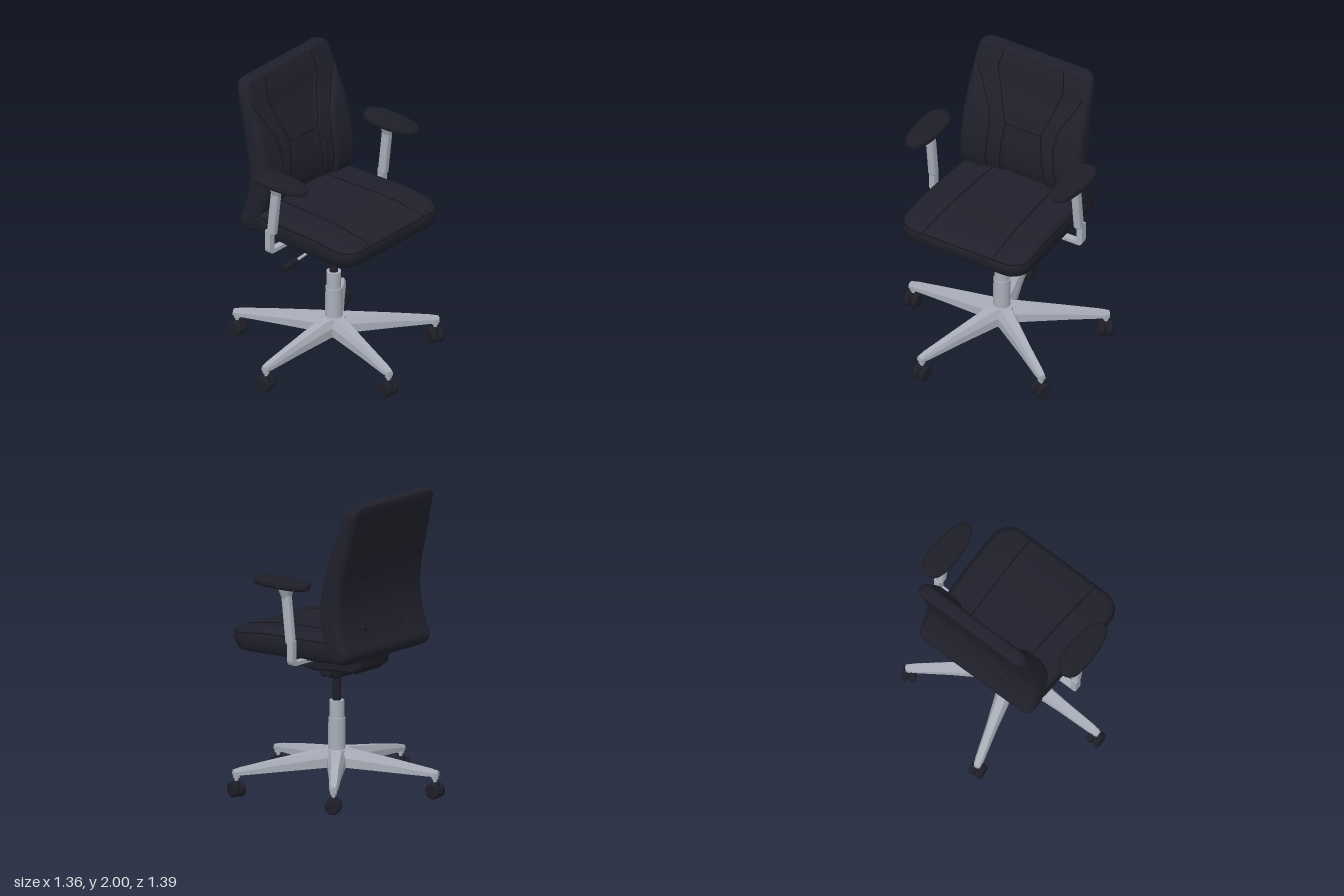
import * as THREE from 'three';
import { toCreasedNormals } from 'three/addons/utils/BufferGeometryUtils.js';
import { RoundedBoxGeometry } from 'three/addons/geometries/RoundedBoxGeometry.js';

const CX = 0.03; // the chair's own axis
const mat = (name, color) => Object.assign(new THREE.MeshStandardMaterial({ color }), { name });
const fabric = mat('upholstery', 0x20202c);
const plastic = mat('black plastic', 0x1e1e28);
const seamMat = mat('seam', 0x14141b);
const metal = mat('grey metal', 0xa9aeb9);

const V = (x, y, z) => new THREE.Vector3(x, y, z);
const { smoothstep, clamp, lerp } = THREE.MathUtils;

function add(parent, name, geo, material, x = 0, y = 0, z = 0) {
  const m = new THREE.Mesh(geo, material);
  m.name = name;
  m.position.set(x, y, z);
  parent.add(m);
  return m;
}

// Skin closed rings of points, capping both ends with fans
function loft(rings) {
  const n = rings[0].length, pos = [], idx = [];
  rings.forEach(r => r.forEach(p => pos.push(p.x, p.y, p.z)));
  const last = (rings.length - 1) * n;
  [rings[0], rings[rings.length - 1]].forEach(r => {
    const c = r.reduce((s, p) => s.add(p), V(0, 0, 0)).divideScalar(n);
    pos.push(c.x, c.y, c.z);
  });
  for (let j = 0; j < n; j++) {
    const k = (j + 1) % n;
    for (let i = 0; i < last; i += n) idx.push(i + j, i + n + j, i + k, i + k, i + n + j, i + n + k);
    idx.push(last + n, j, k, last + n + 1, last + k, last + j);
  }
  const g = new THREE.BufferGeometry();
  g.setAttribute('position', new THREE.Float32BufferAttribute(pos, 3));
  g.setIndex(idx);
  g.computeVertexNormals();
  return g;
}

// Rounded rectangle in plan, as [x, z] pairs
function roundRect(hw, z0, z1, r, n) {
  const out = [], c = [[hw - r, z1 - r], [r - hw, z1 - r], [r - hw, z0 + r], [hw - r, z0 + r]];
  for (let k = 0; k < 4; k++) {
    for (let i = 0; i <= 8; i++) {
      const a = (k + i / 8) * Math.PI / 2;
      out.push([c[k][0] + r * Math.cos(a), c[k][1] + r * Math.sin(a)]);
    }
    const p = out[out.length - 1], q = c[(k + 1) % 4], a = (k + 1) * Math.PI / 2;
    const e = [q[0] + r * Math.cos(a), q[1] + r * Math.sin(a)];
    for (let i = 1; i < n; i++) out.push([lerp(p[0], e[0], i / n), lerp(p[1], e[1], i / n)]);
  }
  return out;
}

const seam = (parent, name, pts, closed = false) => add(parent, name,
  new THREE.TubeGeometry(new THREE.CatmullRomCurve3(pts, closed), closed ? 200 : 60, 0.004, 6, closed), seamMat);

// Straight-line lookup in a short [y, value] table
function table(t, y) {
  let i = 0;
  while (i < t.length - 2 && y > t[i + 1][0]) i++;
  return lerp(t[i][1], t[i + 1][1], clamp((y - t[i][0]) / (t[i + 1][0] - t[i][0]), 0, 1));
}

function seat() {
  const g = new THREE.Group();
  g.name = 'seat';
  const plan = roundRect(0.478, -0.375, 0.535, 0.13, 16);
  const drop = (y, z) => y - 0.035 * smoothstep(z, 0.2, 0.53) * clamp((y - 1) / 0.12, 0, 1);
  const ring = ([y, s]) => plan.map(([px, pz]) => {
    const z = 0.08 + (pz - 0.08) * s;
    return V(CX + px * s * (1 - 0.06 * clamp((0.3 - pz) / 0.7, 0, 1)), drop(y, z), z);
  });
  const levels = [[0.945, 0.88], [0.95, 0.93], [0.965, 0.96], [1, 0.988], [1.05, 1], [1.085, 0.988],
    [1.108, 0.958], [1.12, 0.91], [1.122, 0.8], [1.12, 0.6], [1.12, 0.3]];
  add(g, 'seat cushion', loft(levels.map(ring)), fabric);
  seam(g, 'seat piping', ring([1.088, 0.987]), true);
  for (const s of [-1, 1]) {
    const pts = [[-0.25, 1.121], [0.1, 1.121], [0.3, 1.121], [0.44, 1.121], [0.494, 1.12], [0.516, 1.108], [0.53, 1.085]];
    seam(g, 'seat seam', pts.map(([z, y]) => V(CX + s * (0.23 + 0.045 * (z + 0.25)), drop(y, z), z)));
  }
  return g;
}

function backrest() {
  const g = new THREE.Group();
  g.name = 'backrest';
  // height, front z, rear z, half width
  const prof = [[0.95, -0.31, -0.385, 0.42], [0.965, -0.28, -0.408, 0.44], [1.01, -0.255, -0.428, 0.455],
    [1.08, -0.24, -0.4, 0.461], [1.2, -0.205, -0.365, 0.46], [1.32, -0.195, -0.35, 0.456],
    [1.45, -0.21, -0.36, 0.451], [1.6, -0.245, -0.39, 0.446], [1.8, -0.32, -0.44, 0.438],
    [1.9, -0.36, -0.464, 0.433], [1.95, -0.38, -0.476, 0.425], [1.98, -0.39, -0.478, 0.405],
    [1.995, -0.4, -0.472, 0.37], [2, -0.415, -0.458, 0.335]];
  const spline = new THREE.CubicInterpolant(prof.map(p => p[0]), prof.flatMap(p => p.slice(1)), 3);
  const outer = [[0.95, 0.3], [1.1, 0.285], [1.45, 0.25], [1.58, 0.27], [1.84, 0.41], [2, 0.43]];
  const inner = [[0.95, 0.19], [1.1, 0.18], [1.5, 0.135], [1.85, 0.25], [2, 0.22]];
  // Panels step back between the side bolsters
  const depth = (x, y) => {
    const a = Math.abs(x), o = table(outer, y), i = table(inner, y);
    return (1 - smoothstep(y, 1.7, 1.95)) *
      (0.028 * (1 - smoothstep(a, o - 0.02, o + 0.02)) + 0.018 * (1 - smoothstep(a, i - 0.018, i + 0.018)));
  };
  const rings = [];
  for (let i = 0; i <= 90; i++) {
    const y = 0.95 + 1.05 * (1 - Math.cos(Math.PI * i / 90)) / 2;
    const [zf, zb, hw] = spline.evaluate(y);
    const r = Math.min(0.05, (zf - zb) * 0.48);
    rings.push(roundRect(hw, zb, zf, r, 64).map(([x, z]) =>
      V(CX + x, y, z > (zf + zb) / 2 ? z - depth(x, y) : z)));
  }
  add(g, 'back cushion', loft(rings), fabric);

  // Stitching lines on the front
  const onFront = (x, y) => V(CX + x, y, spline.evaluate(y)[0] - depth(x, y));
  const line = (y0, y1, f) => Array.from({ length: 40 }, (_, i) => {
    const y = lerp(y0, y1, i / 39);
    return onFront(f(y), y);
  });
  for (const s of [-1, 1]) {
    seam(g, 'outer back seam', line(1.08, 1.84, y => s * (table(outer, y) - 0.01)));
    seam(g, 'inner back seam', line(1.08, 1.985, y => s * table(inner, y)));
    // Fixing plugs on the rear
    for (const y of [1.15, 1.5, 1.82]) {
      const plug = add(g, 'rear plug', new THREE.CylinderGeometry(0.01, 0.01, 0.008, 16), seamMat, CX + s * 0.19, y, spline.evaluate(y)[1]);
      plug.rotation.x = Math.PI / 2;
    }
  }
  seam(g, 'lumbar seam', Array.from({ length: 20 }, (_, i) => onFront(-0.135 + 0.27 * i / 19, 1.5)));
  return g;
}

function armrest(s) {
  const g = new THREE.Group();
  g.name = s > 0 ? 'left armrest' : 'right armrest';
  g.position.x = CX;
  const ax = s * 0.551;
  const outline = [[-0.085, -0.1], [-0.055, -0.175], [0.015, -0.2], [0.07, -0.165], [0.09, -0.08], [0.09, 0.04],
    [0.07, 0.16], [0.035, 0.225], [-0.025, 0.23], [-0.065, 0.17], [-0.088, 0.04]];
  const curve = new THREE.CatmullRomCurve3(outline.map(([x, z]) => V(x * s, z, 0)), true);
  const pad = new THREE.ExtrudeGeometry(new THREE.Shape(curve.getPoints(60).slice(0, -1).map(p => new THREE.Vector2(p.x, p.y))),
    { depth: 0.015, bevelSize: 0.025, bevelThickness: 0.02, bevelOffset: -0.025, bevelSegments: 5 });
  add(g, 'arm pad', toCreasedNormals(pad.rotateX(Math.PI / 2), 0.7), plastic, ax, 1.475, 0);
  add(g, 'pad mount', new THREE.CylinderGeometry(0.06, 0.04, 0.035, 24), plastic, ax, 1.428, -0.012);
  add(g, 'post collar', new THREE.CylinderGeometry(0.055, 0.03, 0.06, 24), metal, ax, 1.405, -0.015);
  const post = add(g, 'arm post', new RoundedBoxGeometry(0.055, 0.33, 0.062, 3, 0.018), metal, ax, 1.235, -0.035);
  post.rotation.x = 0.11;
  // Bent bracket running under the seat
  const b = new THREE.Shape();
  b.moveTo(s * 0.58, 1.1);
  b.lineTo(s * 0.58, 0.975);
  b.quadraticCurveTo(s * 0.58, 0.932, s * 0.54, 0.932);
  b.lineTo(s * 0.1, 0.932);
  b.lineTo(s * 0.1, 0.958);
  b.lineTo(s * 0.525, 0.958);
  b.quadraticCurveTo(s * 0.538, 0.958, s * 0.538, 0.98);
  b.lineTo(s * 0.538, 1.1);
  add(g, 'arm bracket', new THREE.ExtrudeGeometry(b, { depth: 0.045, bevelEnabled: false }), metal, 0, 0, -0.09);
  return g;
}

function mechanism() {
  const g = new THREE.Group();
  g.name = 'tilt mechanism';
  g.position.x = CX;
  // Side profile [z, y], swept across the width
  const side = [[0.28, 0.93], [0.3, 0.885], [0.24, 0.83], [0.08, 0.805], [-0.08, 0.82], [-0.25, 0.825], [-0.31, 0.87], [-0.32, 0.93]];
  const body = new THREE.ExtrudeGeometry(new THREE.Shape(side.map(p => new THREE.Vector2(...p))),
    { depth: 0.24, bevelSize: 0.02, bevelThickness: 0.035, bevelOffset: -0.02, bevelSegments: 3 });
  add(g, 'housing', body.rotateY(-Math.PI / 2), plastic, 0.12, 0, 0);
  add(g, 'mounting plate', new THREE.BoxGeometry(0.44, 0.02, 0.5), plastic, 0, 0.94, 0);
  add(g, 'lower block', new RoundedBoxGeometry(0.2, 0.08, 0.15, 3, 0.025), plastic, 0, 0.8, 0);
  const hinge = add(g, 'hinge barrel', new THREE.CylinderGeometry(0.036, 0.036, 0.24, 24), plastic, 0, 0.81, -0.02);
  hinge.rotation.z = Math.PI / 2;
  const knob = add(g, 'tension knob', new THREE.CylinderGeometry(0.03, 0.03, 0.05, 20), plastic, 0.165, 0.9, 0.02);
  knob.rotation.z = Math.PI / 2;
  // Height lever
  const rod = add(g, 'lever rod', new THREE.CylinderGeometry(0.01, 0.01, 0.29, 12), metal, -0.23, 0.82, -0.02);
  rod.rotation.z = Math.PI / 2 + 0.1;
  const grip = add(g, 'lever grip', new RoundedBoxGeometry(0.13, 0.052, 0.04, 3, 0.018), plastic, -0.405, 0.8, -0.02);
  grip.rotation.z = 0.1;
  return g;
}

function base() {
  const g = new THREE.Group();
  g.name = 'base';
  g.position.x = CX;
  const cyl = (name, r0, r1, y0, y1, m) => add(g, name, new THREE.CylinderGeometry(r1, r0, y1 - y0, 32), m, 0, (y0 + y1) / 2, 0);
  cyl('gas piston', 0.028, 0.028, 0.58, 0.82, plastic);
  cyl('upper column', 0.048, 0.048, 0.47, 0.6, metal);
  cyl('lower column', 0.057, 0.055, 0.2, 0.485, metal);
  cyl('hub', 0.085, 0.08, 0.165, 0.28, metal);
  // radius, bottom y, top y, bottom half width, top half width
  const legRings = [[0.02, 0.165, 0.28, 0.065, 0.04], [0.1, 0.168, 0.279, 0.058, 0.033], [0.4, 0.155, 0.234, 0.037, 0.023],
    [0.64, 0.147, 0.192, 0.029, 0.02], [0.695, 0.147, 0.18, 0.02, 0.014]]
    .map(([x, b, t, wb, wt]) => [V(x, b, wb), V(x, lerp(b, t, 0.55), wb), V(x, t, wt), V(x, t, -wt), V(x, lerp(b, t, 0.55), -wb), V(x, b, -wb)]);
  const legGeo = toCreasedNormals(loft(legRings), 0.35);
  // Wheel with rounded rims, axis along x
  const rim = [[0, -0.02], [0.044, -0.02], [0.052, -0.012], [0.053, 0], [0.052, 0.012], [0.044, 0.02], [0, 0.02]];
  const wheelGeo = toCreasedNormals(new THREE.LatheGeometry(rim.map(p => new THREE.Vector2(...p)), 28).rotateZ(Math.PI / 2), 0.7);
  const hoodGeo = new THREE.CylinderGeometry(0.052, 0.052, 0.07, 20, 1, false, 0, Math.PI).rotateZ(Math.PI / 2);
  const turns = [0, -0.1, -0.4, 0.5, 0.1];
  [180, 108, 36, -36, -108].forEach((deg, i) => {
    const a = deg * Math.PI / 180, x = 0.672 * Math.cos(a), z = 0.672 * Math.sin(a);
    add(g, 'leg', legGeo, metal).rotation.y = -a;
    add(g, 'caster socket', new THREE.CylinderGeometry(0.026, 0.022, 0.04, 16), metal, x, 0.148, z);
    add(g, 'caster stem', new THREE.CylinderGeometry(0.012, 0.012, 0.06, 12), metal, x, 0.12, z);
    const c = new THREE.Group();
    c.name = 'caster';
    c.position.set(x, 0.053, z);
    c.rotation.y = turns[i];
    for (const s of [-1, 1]) add(c, 'wheel', wheelGeo, plastic, s * 0.026, 0, 0);
    add(c, 'axle', new THREE.CylinderGeometry(0.012, 0.012, 0.05, 12).rotateZ(Math.PI / 2), plastic);
    add(c, 'caster hood', new RoundedBoxGeometry(0.03, 0.055, 0.06, 2, 0.01), plastic, 0, 0.03, 0);
    g.add(c);
  });
  return g;
}

export function createModel() {
  const chair = new THREE.Group();
  chair.name = 'office chair';
  chair.add(seat(), backrest(), armrest(1), armrest(-1), mechanism(), base());
  return chair;
}
